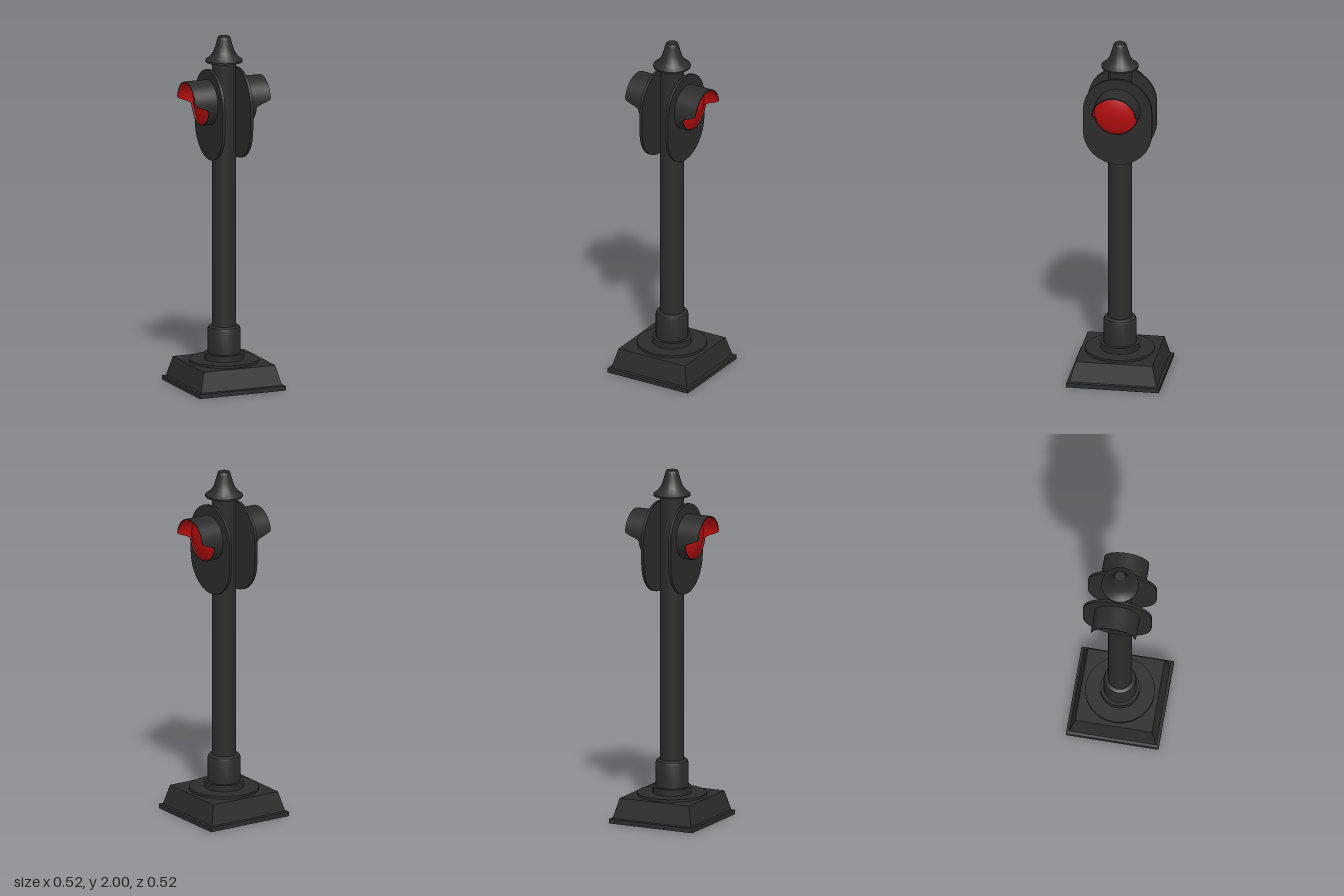
import * as THREE from 'three';
import { toCreasedNormals } from 'three/addons/utils/BufferGeometryUtils.js';

const black = new THREE.MeshStandardMaterial({ color: 0x2b2b2b, side: THREE.DoubleSide });
black.name = 'blackPaint';
const red = new THREE.MeshStandardMaterial({ color: 0xb40e0e, side: THREE.DoubleSide });
red.name = 'redLens';

function add(parent, name, geometry, material) {
  const mesh = new THREE.Mesh(geometry, material);
  mesh.name = name;
  parent.add(mesh);
  return mesh;
}

// Turned part from [radius, height] pairs, sharp only at real edges
function turned(profile, sides, crease = 0.6) {
  const points = profile.map(([r, y]) => new THREE.Vector2(r, y));
  return toCreasedNormals(new THREE.LatheGeometry(points, sides), crease);
}

const LAMP_Y = 1.63, PLATE_X = 0.093, VISOR_R = 0.128, LINING_R = 0.122;

// How far the visor reaches: long above the lamp, short below
function visorReach(y) {
  return 0.145 + 0.085 * THREE.MathUtils.smoothstep(y / VISOR_R, -0.22, 0.14);
}

// Open tube along x whose outer end follows the visor's cut
function visorTube(radius) {
  const g = new THREE.CylinderGeometry(radius, radius, 1, 72, 1, true).rotateZ(-Math.PI / 2);
  const p = g.attributes.position;
  for (let i = 0; i < p.count; i++) {
    p.setX(i, p.getX(i) > 0 ? visorReach(p.getY(i) * VISOR_R / radius) : PLATE_X - 0.005);
  }
  return g;
}

// Thin edge joining the visor's outside and lining
function visorRim() {
  const g = new THREE.RingGeometry(LINING_R, VISOR_R, 72, 1).rotateY(Math.PI / 2);
  const p = g.attributes.position;
  for (let i = 0; i < p.count; i++) {
    const r = Math.hypot(p.getY(i), p.getZ(i));
    p.setX(i, visorReach(p.getY(i) * VISOR_R / r));
  }
  return g;
}

// Oblong backing plate with rounded ends
function plateGeometry() {
  const s = new THREE.Shape();
  s.absarc(0, 1.62, 0.195, 0, Math.PI);
  s.absarc(0, 1.495, 0.195, Math.PI, 2 * Math.PI);
  s.closePath();
  const g = new THREE.ExtrudeGeometry(s, { depth: 0.016, bevelEnabled: false, curveSegments: 8 });
  return toCreasedNormals(g.rotateY(Math.PI / 2).translate(0.077, 0, 0), 0.6);
}

function lamp(name) {
  const g = new THREE.Group();
  g.name = name;
  add(g, 'backingPlate', plateGeometry(), black);
  const head = new THREE.Group();
  head.name = 'lampHead';
  head.position.y = LAMP_Y;
  add(head, 'visor', visorTube(VISOR_R), black);
  add(head, 'visorLining', visorTube(LINING_R), red);
  add(head, 'visorRim', visorRim(), black);
  // Shallow domed lens
  const R = 0.3, span = Math.asin(LINING_R / R);
  const dome = new THREE.SphereGeometry(R, 40, 8, 0, Math.PI * 2, 0, span);
  dome.rotateZ(-Math.PI / 2).translate(0.162 - R, 0, 0);
  add(head, 'lens', dome, red);
  g.add(head);
  return g;
}

export function createModel() {
  const model = new THREE.Group();
  model.name = 'signalPost';

  // Square hollow foot: underside, lip, sloping walls, top
  const q = Math.SQRT2;
  const foot = [[0, 0.125], [0.2, 0.125], [0.232, 0], [0.262, 0], [0.262, 0.025],
    [0.246, 0.028], [0.217, 0.14], [0, 0.14]].map(([r, y]) => [r * q, y]);
  add(model, 'foot', turned(foot, 4, 0.1).rotateY(Math.PI / 4), black);

  // Round flange, step and socket
  add(model, 'flange', turned([[0.195, 0.138], [0.195, 0.154], [0, 0.154]], 24), black);
  add(model, 'socket', turned([[0.11, 0.15], [0.11, 0.19], [0.092, 0.19], [0.092, 0.325],
    [0.088, 0.338], [0.079, 0.345], [0.066, 0.346]], 24), black);

  add(model, 'pole', new THREE.CylinderGeometry(0.068, 0.068, 1.71, 24, 1, true).translate(0, 1.005, 0), black);

  // Flared cap
  add(model, 'cap', turned([[0, 1.856], [0.105, 1.856], [0.105, 1.866], [0.079, 1.885], [0.061, 1.91],
    [0.049, 1.945], [0.039, 1.98], [0.036, 1.992], [0.031, 2], [0, 2]], 20), black);

  // A lamp on each side
  const left = lamp('leftLamp');
  const right = lamp('rightLamp');
  right.rotation.y = Math.PI;
  model.add(left, right);
  return model;
}
